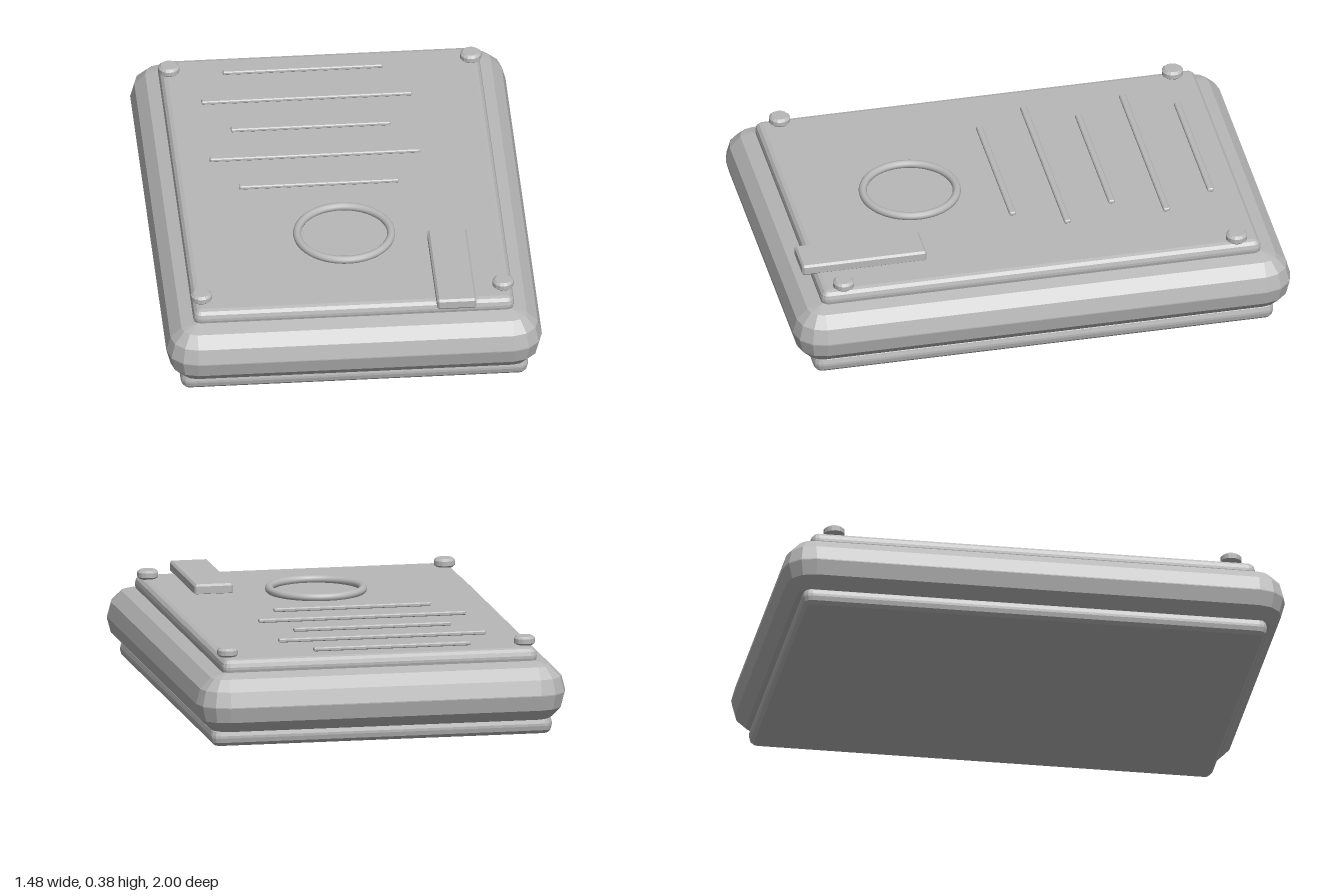
import * as THREE from 'three';

// Box with evenly stepped round edges, built from stacked rounded-rectangle loops
function bevelBox(w, h, d, r, n) {
  const pos = [], index = [], loop = 4 * (n + 1);
  const corners = [[1, 1], [-1, 1], [-1, -1], [1, -1]];
  for (let k = 0; k < 2 * (n + 1); k++) {
    const upper = k > n;
    const phi = ((upper ? k - n - 1 : k - n) / n) * Math.PI / 2;
    const y = (upper ? 1 : -1) * (h / 2 - r) + r * Math.sin(phi);
    const rr = r * Math.cos(phi);
    corners.forEach(([sx, sz], c) => {
      for (let i = 0; i <= n; i++) {
        const a = (c + i / n) * Math.PI / 2;
        pos.push(sx * (w / 2 - r) + rr * Math.cos(a), y, sz * (d / 2 - r) + rr * Math.sin(a));
      }
    });
  }
  const rows = 2 * (n + 1);
  for (let k = 0; k < rows - 1; k++) {
    for (let i = 0; i < loop; i++) {
      const a = k * loop + i, b = k * loop + (i + 1) % loop;
      index.push(a, a + loop, b, b, a + loop, b + loop);
    }
  }
  // flat caps: one quad each, between the four corner points
  const q = (row, c) => row * loop + c * (n + 1);
  index.push(q(0, 0), q(0, 1), q(0, 2), q(0, 0), q(0, 2), q(0, 3));
  const t = rows - 1;
  index.push(q(t, 0), q(t, 2), q(t, 1), q(t, 0), q(t, 3), q(t, 2));
  const g = new THREE.BufferGeometry();
  g.setAttribute('position', new THREE.Float32BufferAttribute(pos, 3));
  g.setIndex(index);
  const flat = g.toNonIndexed();
  flat.computeVertexNormals();
  return flat;
}

export function createModel() {
  const group = new THREE.Group();
  const grey = new THREE.MeshStandardMaterial({ color: 0xb8b8b8 });
  grey.name = 'grey';

  function add(name, geometry, x, y, z) {
    const mesh = new THREE.Mesh(geometry, grey);
    mesh.name = name;
    mesh.position.set(x, y, z);
    group.add(mesh);
    return mesh;
  }

  // Stacked case
  add('base', bevelBox(1.37, 0.08, 1.85, 0.035, 3), 0, 0.04, 0);
  add('body', bevelBox(1.48, 0.24, 2, 0.118, 3), 0, 0.17, 0);
  add('topPlate', bevelBox(1.265, 0.07, 1.77, 0.03, 3), 0, 0.305, 0);

  // Corner screws
  const screw = new THREE.LatheGeometry([
    [0, 0], [0.032, 0], [0.042, 0.009], [0.042, 0.027], [0.032, 0.036], [0, 0.036],
  ].map(([x, y]) => new THREE.Vector2(x, y)), 16).toNonIndexed();
  screw.computeVertexNormals();
  for (const x of [-0.595, 0.595]) {
    for (const z of [-0.79, 0.79]) add('screw', screw, x, 0.338, z);
  }

  // Vent slats, alternating short and long
  for (let i = 0; i < 5; i++) {
    add('slat', bevelBox(i % 2 ? 0.83 : 0.63, 0.016, 0.026, 0.004, 1), -0.07, 0.347, -0.763 + i * 0.199);
  }

  // Raised dial ring
  const ring = add('dialRing', new THREE.TorusGeometry(0.185, 0.016, 12, 64), 0, 0.353, 0.395);
  ring.rotation.x = -Math.PI / 2;

  // Latch reaching over the front edge
  add('latch', bevelBox(0.155, 0.045, 0.5, 0.008, 1), 0.402, 0.356, 0.68);

  return group;
}
